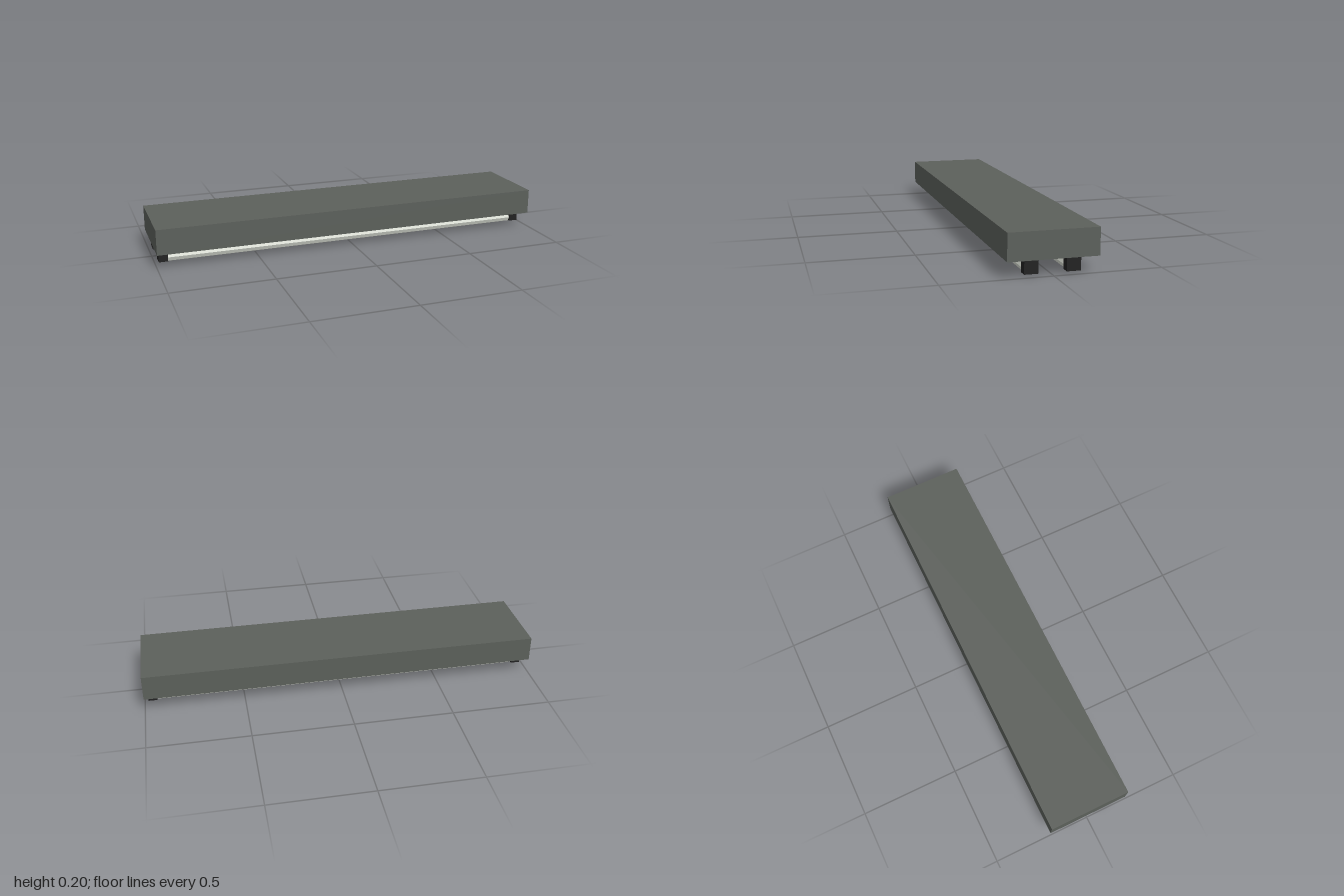
import * as THREE from 'three';

function material(name, color, extra = {}) {
  const m = new THREE.MeshStandardMaterial({ color, ...extra });
  m.name = name;
  return m;
}

export function createModel() {
  const group = new THREE.Group();
  const housingGrey = material('housing grey', 0x5c605b);
  const panelGrey = material('reflector grey', 0xb8b9b4);
  const socketBlack = material('socket black', 0x222222);
  const tubeWhite = material('tube white', 0xd9ddd3, { flatShading: true });

  const add = (name, geometry, mat, x, y, z) => {
    const mesh = new THREE.Mesh(geometry, mat);
    mesh.name = name;
    mesh.position.set(x, y, z);
    group.add(mesh);
    return mesh;
  };

  // Ceiling housing and the reflector plate beneath it
  add('housing', new THREE.BoxGeometry(2, 0.127, 0.416), housingGrey, 0, 0.1395, 0);
  add('reflector', new THREE.BoxGeometry(1.94, 0.004, 0.354), panelGrey, 0, 0.0745, 0);

  // Eight-sided lamp tubes running along x, each held by two sockets
  const tubeGeometry = new THREE.CylinderGeometry(0.027, 0.027, 1.9, 8);
  tubeGeometry.rotateZ(Math.PI / 2);
  const socketGeometry = new THREE.BoxGeometry(0.045, 0.064, 0.064);
  for (const z of [0.096, -0.096]) {
    add('lampTube', tubeGeometry, tubeWhite, 0, 0.03, z);
    for (const side of [-1, 1]) {
      add('socket', socketGeometry, socketBlack, side * 0.9605, 0.044, z);
    }
  }

  // Small dark label wrapped under the rear tube
  const label = new THREE.CylinderGeometry(0.0285, 0.0285, 0.1, 2, 1, true, Math.PI / 4, Math.PI / 2);
  label.rotateZ(-Math.PI / 2);
  add('tubeLabel', label, socketBlack, 0.22, 0.03, -0.096);

  return group;
}
